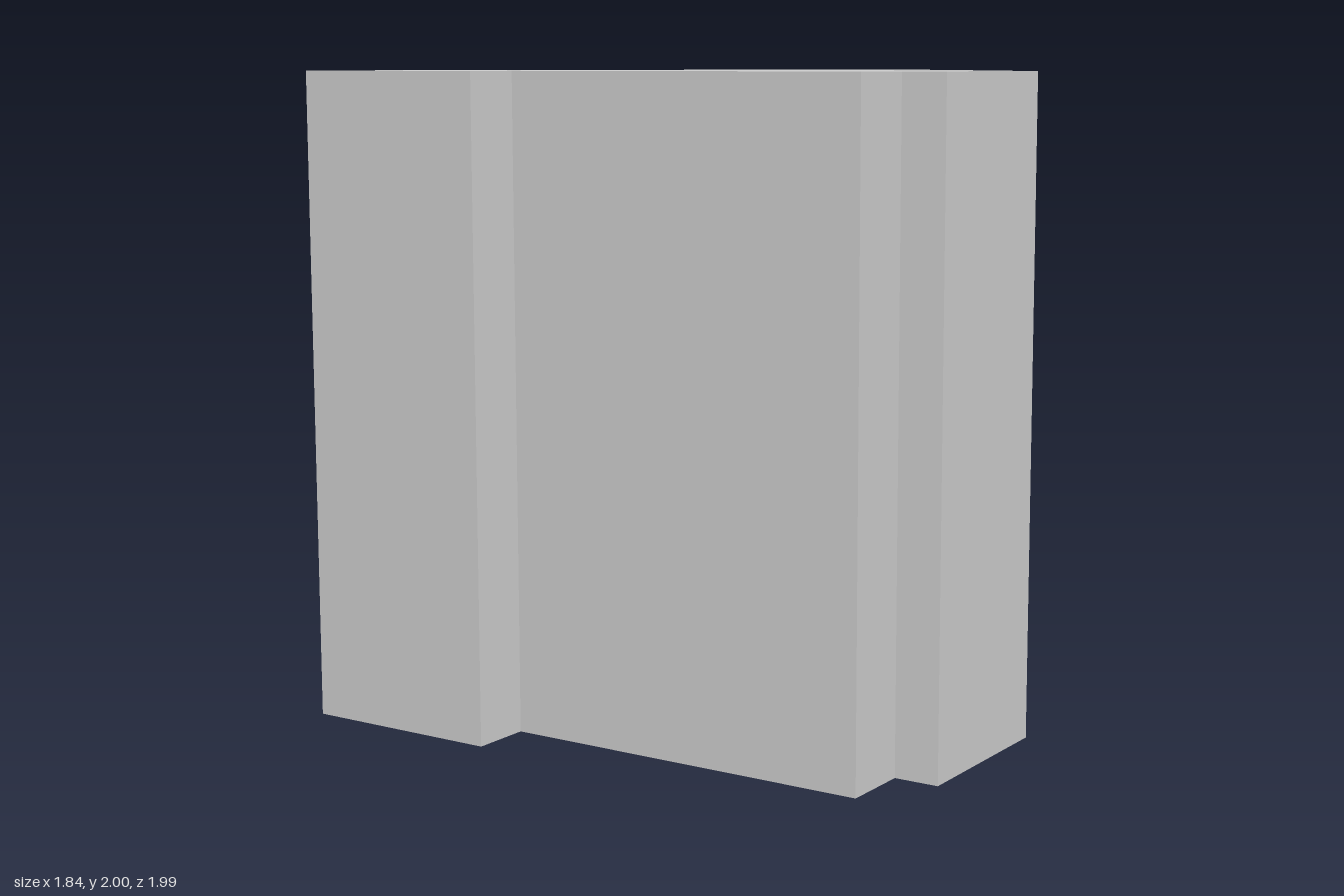
import * as THREE from 'three';

const HEIGHT = 2;

// Footprint corners as [x, z], clockwise seen from above
const FOOTPRINT = [
  [-0.922, -0.932], [-0.145, -0.997], [-0.102, -0.495], [0.848, -0.574],
  [0.919, 0.279], [0.162, 0.342], [0.21, 0.943], [-0.352, 0.99],
  [-0.364, 0.852], [-0.584, 0.869], [-0.682, -0.309], [-0.87, -0.294],
];

export function createModel() {
  const group = new THREE.Group();
  group.name = 'building';
  // The block is a thin shell, open underneath
  const material = new THREE.MeshStandardMaterial({
    color: 0xcccccc, flatShading: true, side: THREE.DoubleSide,
  });

  // Flat roof
  const outline = new THREE.Shape(FOOTPRINT.map(([x, z]) => new THREE.Vector2(x, -z)));
  const roof = new THREE.Mesh(new THREE.ShapeGeometry(outline), material);
  roof.name = 'roof';
  roof.rotation.x = -Math.PI / 2;
  roof.position.y = HEIGHT;
  group.add(roof);

  // One upright wall per footprint edge, facing outward
  const walls = new THREE.Group();
  walls.name = 'walls';
  FOOTPRINT.forEach(([x0, z0], i) => {
    const [x1, z1] = FOOTPRINT[(i + 1) % FOOTPRINT.length];
    const dx = x1 - x0, dz = z1 - z0;
    const wall = new THREE.Mesh(new THREE.PlaneGeometry(Math.hypot(dx, dz), HEIGHT), material);
    wall.name = `wall${i + 1}`;
    wall.position.set((x0 + x1) / 2, HEIGHT / 2, (z0 + z1) / 2);
    wall.rotation.y = Math.atan2(dz, -dx);
    walls.add(wall);
  });
  group.add(walls);

  return group;
}
